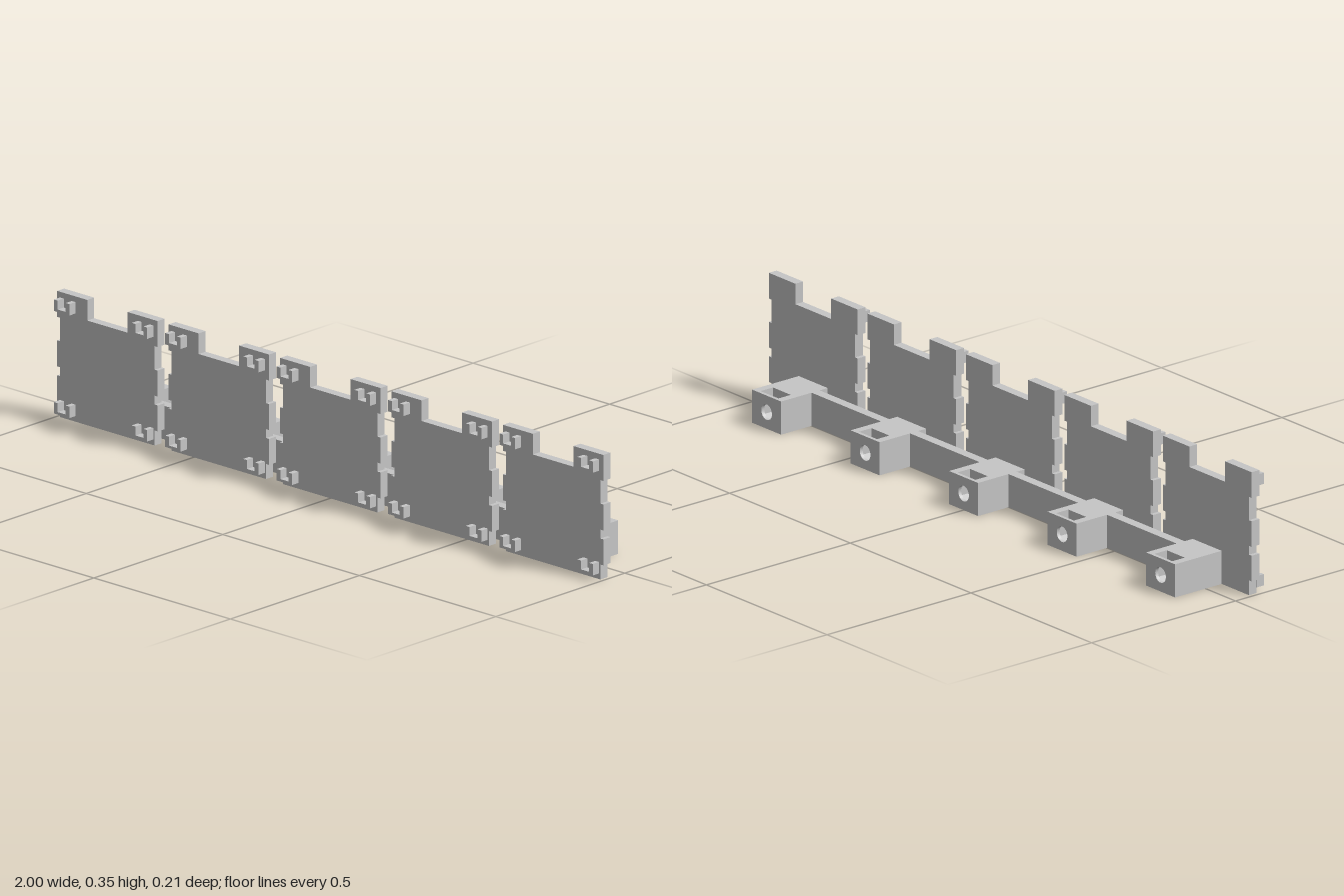
import * as THREE from 'three';

const grey = new THREE.MeshStandardMaterial({ color: 0xc6c6c6 });
grey.name = 'light grey';

const H = 0.094; // height of the rail and blocks
const BACK = -0.106, PANEL_BACK = 0.056, PANEL_FRONT = 0.083, PEG_FRONT = 0.107;

// Extrude an outline from z0 to z1
function slab(name, outline, z0, z1, hole) {
  const shape = new THREE.Shape(outline.map(([x, y]) => new THREE.Vector2(x, y)));
  if (hole) shape.holes.push(hole);
  const geo = new THREE.ExtrudeGeometry(shape, { depth: z1 - z0, bevelEnabled: false, curveSegments: 20 });
  geo.translate(0, 0, z0);
  const mesh = new THREE.Mesh(geo, grey);
  mesh.name = name;
  return mesh;
}

const rect = (x0, x1, y0, y1) => [[x0, y0], [x1, y0], [x1, y1], [x0, y1]];

// Plate with toothed sides and a wide notch in the top edge
function makePanel() {
  const out = 0.184, inn = 0.173;
  const half = [
    [inn, 0], [inn, 0.042], [out, 0.042], [out, 0.115], [inn, 0.115], [inn, 0.14],
    [out, 0.14], [out, 0.213], [inn, 0.213], [inn, 0.279], [out, 0.279], [out, 0.352],
    [0.074, 0.352], [0.074, 0.294],
  ];
  const mirrored = half.map(([x, y]) => [-x, y]).reverse();
  return slab('panel', [...half, ...mirrored], PANEL_BACK, PANEL_FRONT);
}

// Small U-shaped clip on the panel front
function makeClip(x0, y0) {
  const w = 0.057, h = 0.032, t = 0.014, base = 0.007;
  const u = [[0, 0], [w, 0], [w, h], [w - t, h], [w - t, base], [t, base], [t, h], [0, h]];
  return slab('clip', u.map(([x, y]) => [x + x0, y + y0]), PANEL_FRONT, PEG_FRONT);
}

// Mounting block: screw hole in the rear wall, nut pocket open at the top
function makeBlock() {
  const block = new THREE.Group();
  block.name = 'mountingBlock';
  const w = 0.06, p = 0.037, pocketBack = -0.096, pocketFront = -0.053;
  const hole = new THREE.Path();
  hole.absarc(0, 0.047, 0.022, 0, Math.PI * 2, true);
  block.add(slab('rearWall', rect(-w, w, 0, H), BACK, pocketBack, hole));
  block.add(slab('nutPocket', [
    [-w, 0], [w, 0], [w, H], [p, H], [p, 0.026], [0, 0.005], [-p, 0.026], [-p, H], [-w, H],
  ], pocketBack, pocketFront));
  block.add(slab('blockBody', rect(-w, w, 0, H), pocketFront, PANEL_BACK));
  return block;
}

export function createModel() {
  const model = new THREE.Group();
  model.name = 'panelRow';
  const spacing = 0.408;

  for (let i = -2; i <= 2; i++) {
    const unit = new THREE.Group();
    unit.name = 'panelUnit';
    unit.position.x = i * spacing;
    unit.add(makePanel(), makeBlock());
    for (const x of [-0.174, 0.111]) {
      for (const y of [0.016, 0.304]) unit.add(makeClip(x, y));
    }
    model.add(unit);

    // Rail piece joining this block to the next
    if (i < 2) {
      const rail = slab('rail', rect(0.06, spacing - 0.06, 0, H), 0, 0.028);
      rail.position.x = i * spacing;
      model.add(rail);
    }
  }
  return model;
}
